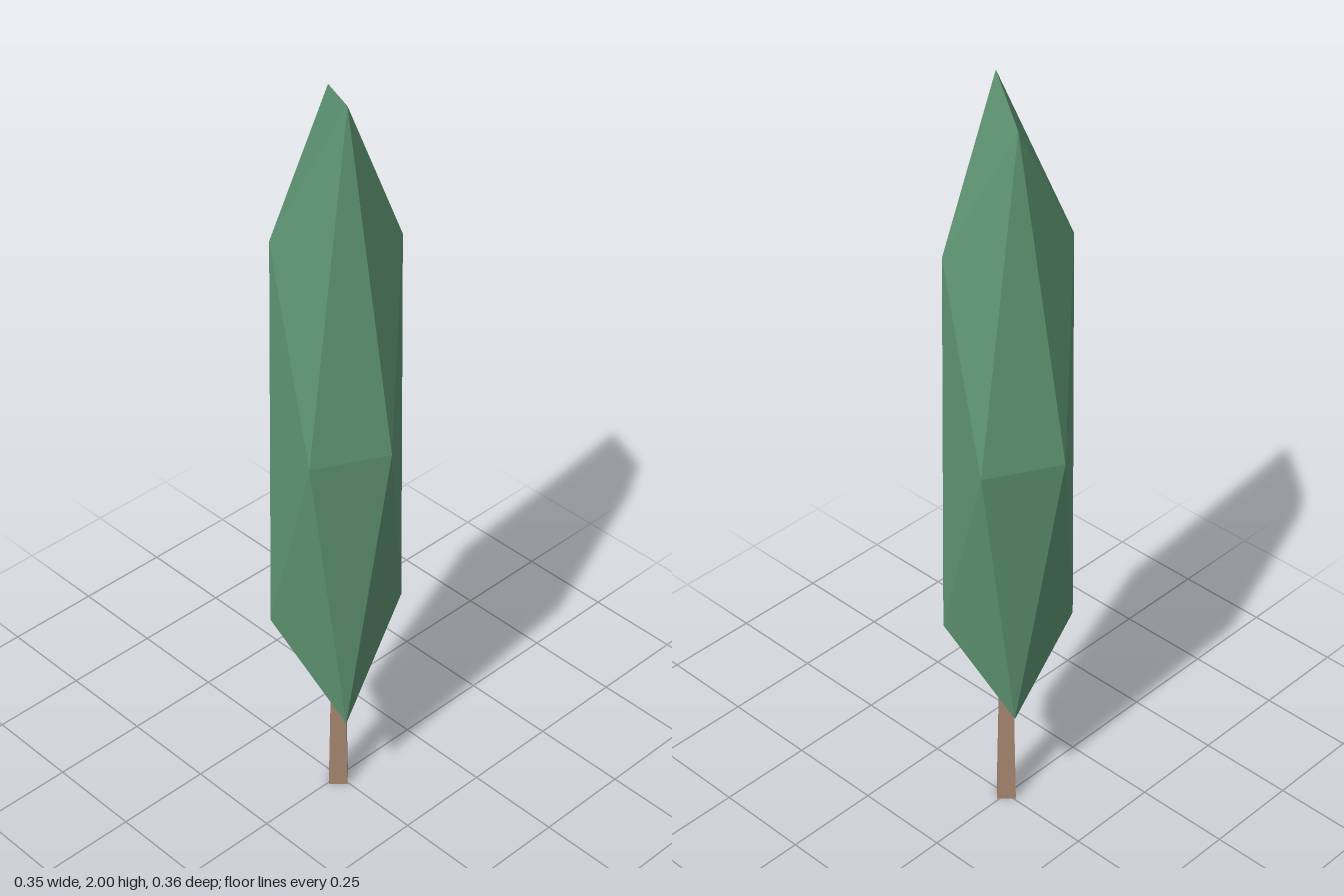
import * as THREE from 'three';
import { ConvexGeometry } from 'three/addons/geometries/ConvexGeometry.js';

export function createModel() {
  const tree = new THREE.Group();
  tree.name = 'tree';

  // Trunk: a tapered four-sided post, set corner-on and running up into the crown
  const height = 0.45;
  const trunk = new THREE.Mesh(
    new THREE.CylinderGeometry(0.023, 0.034, height, 4),
    new THREE.MeshStandardMaterial({ color: 0xa5866e, flatShading: true })
  );
  trunk.name = 'trunk';
  trunk.position.set(-0.005, height / 2, 0.005);
  tree.add(trunk);

  // Crown: a tall, slightly irregular icosahedron, its corners listed from top to bottom
  const corners = [
    [-0.058, 2.0, 0.087], [0.043, 1.95, -0.077],
    [-0.135, 1.63, -0.078], [0.12, 1.61, 0.08],
    [-0.005, 1.12, 0.18], [-0.175, 1.115, 0.087],
    [-0.005, 1.12, -0.182], [0.172, 1.12, -0.087],
    [0.13, 0.58, 0.086], [-0.147, 0.555, -0.084],
    [-0.055, 0.27, 0.085], [0.042, 0.32, -0.07],
  ].map((p) => new THREE.Vector3(...p));
  const crown = new THREE.Mesh(
    new ConvexGeometry(corners),
    new THREE.MeshStandardMaterial({ color: 0x5f9674, flatShading: true })
  );
  crown.name = 'crown';
  tree.add(crown);

  return tree;
}
